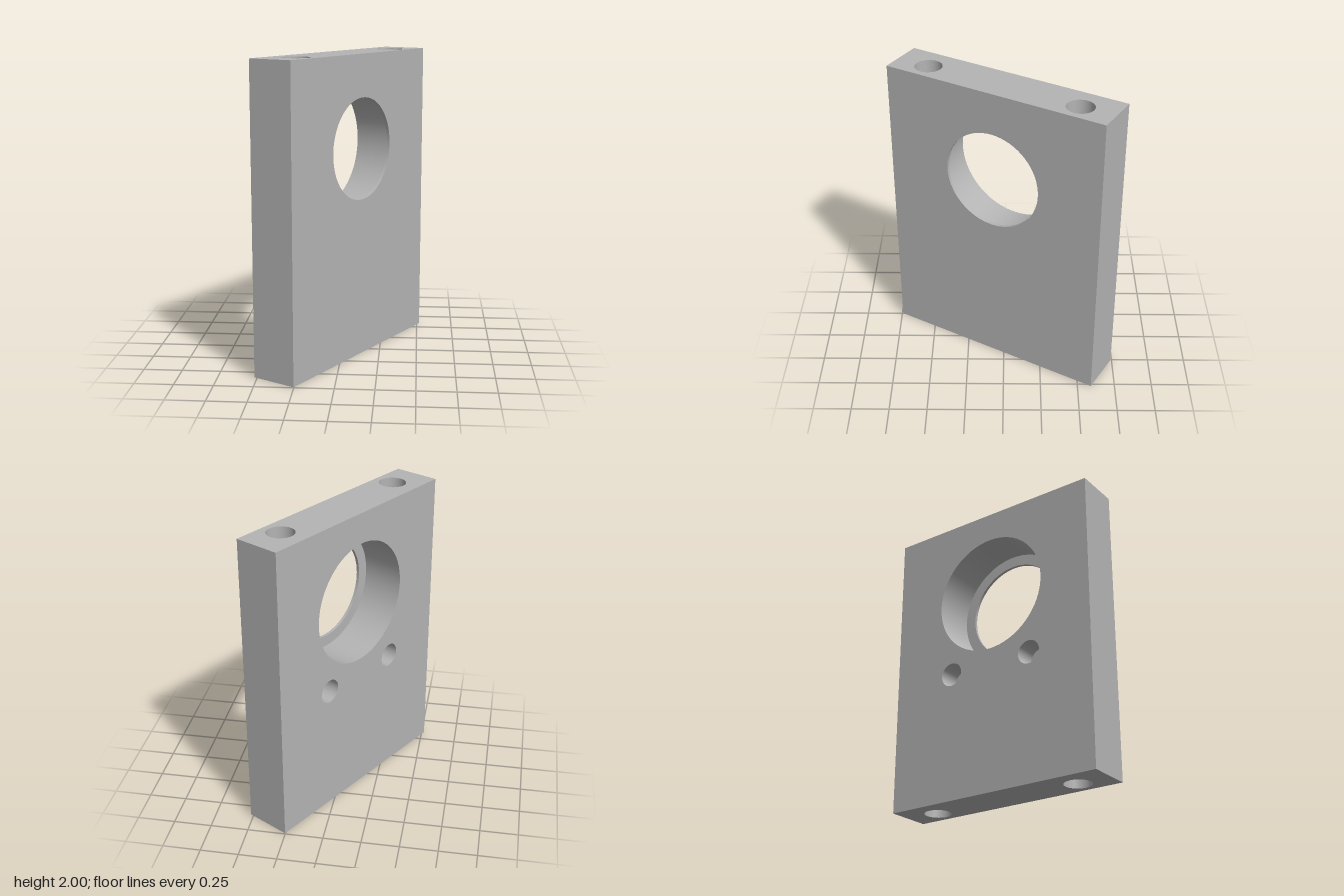
import * as THREE from 'three';

const W = 1.54, H = 2, T = 0.307;            // plate width, height, thickness
const BORE_Y = 1.387, BORE_R = 0.334, POCKET_R = 0.41, LIP = 0.02;
const BOLT_X = 0.538, BOLT_Z = 0.024, BOLT_R = 0.089;
const PIN_X = 0.309, PIN_Y = 0.87, PIN_R = 0.08, PIN_DEPTH = 0.15;

export function createModel() {
  const grey = new THREE.MeshStandardMaterial({ color: 0xb4b4b4 });
  grey.name = 'plain grey';
  const plate = new THREE.Group();
  plate.name = 'mountingPlate';

  const add = (name, geometry) => {
    const mesh = new THREE.Mesh(geometry, grey);
    mesh.name = name;
    plate.add(mesh);
  };

  // Flat rectangle facing +z, centred on its origin, with round holes [x, y, r]
  const face = (w, h, holes = []) => {
    const s = new THREE.Shape();
    s.moveTo(-w / 2, -h / 2).lineTo(w / 2, -h / 2).lineTo(w / 2, h / 2).lineTo(-w / 2, h / 2);
    s.closePath();
    for (const [x, y, r] of holes) s.holes.push(new THREE.Path().absarc(x, y, r, 0, Math.PI * 2, true));
    return new THREE.ShapeGeometry(s, 32);
  };

  // Inward-facing cylindrical wall along y, from low to high
  const wall = (r, low, high) =>
    new THREE.LatheGeometry([new THREE.Vector2(r, high), new THREE.Vector2(r, low)], 64);

  // Broad faces
  const mid = H / 2;
  add('frontFace', face(W, H, [[0, BORE_Y - mid, BORE_R]]).translate(0, mid, T / 2));
  add('backFace', face(W, H, [
    [0, BORE_Y - mid, POCKET_R], [PIN_X, PIN_Y - mid, PIN_R], [-PIN_X, PIN_Y - mid, PIN_R],
  ]).rotateY(Math.PI).translate(0, mid, -T / 2));

  // Narrow edges
  for (const s of [-1, 1]) {
    add(s > 0 ? 'leftEdge' : 'rightEdge', face(T, H).rotateY(s * Math.PI / 2).translate(s * W / 2, mid, 0));
    const holes = [-1, 1].map((k) => [k * BOLT_X, -s * BOLT_Z, BOLT_R]);
    add(s > 0 ? 'topEdge' : 'bottomEdge',
      face(W, T, holes).rotateX(-s * Math.PI / 2).translate(0, mid + s * mid, 0));
  }

  // Large bore: thin lip at the front, wider pocket behind
  const ledgeZ = T / 2 - LIP;
  add('boreLip', wall(BORE_R, ledgeZ, T / 2).rotateX(Math.PI / 2).translate(0, BORE_Y, 0));
  add('borePocket', wall(POCKET_R, -T / 2, ledgeZ).rotateX(Math.PI / 2).translate(0, BORE_Y, 0));
  add('boreLedge', new THREE.RingGeometry(BORE_R, POCKET_R, 64).rotateY(Math.PI).translate(0, BORE_Y, ledgeZ));

  // Vertical through holes and blind pin holes, mirrored
  for (const s of [-1, 1]) {
    add('boltHole', wall(BOLT_R, 0, H).translate(s * BOLT_X, 0, BOLT_Z));
    const floorZ = -T / 2 + PIN_DEPTH;
    add('pinHole', wall(PIN_R, -T / 2, floorZ).rotateX(Math.PI / 2).translate(s * PIN_X, PIN_Y, 0));
    add('pinHoleFloor', new THREE.CircleGeometry(PIN_R, 64).rotateY(Math.PI).translate(s * PIN_X, PIN_Y, floorZ));
  }

  // The plate stands turned by sixty degrees
  plate.rotation.y = Math.PI / 3;
  const model = new THREE.Group();
  model.name = 'model';
  model.add(plate);
  return model;
}
